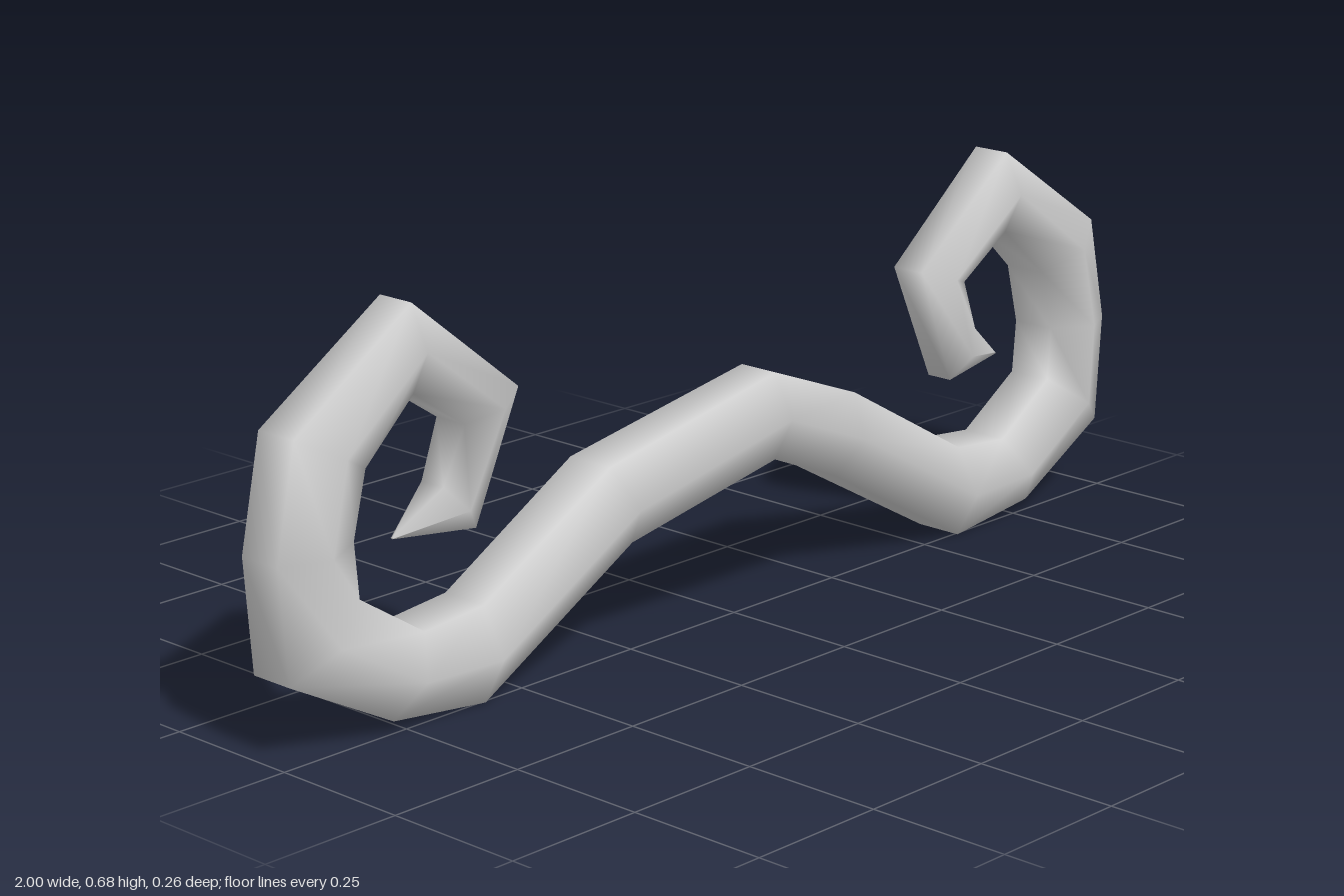
import * as THREE from 'three';

// Half of the curl, from the middle to the tip:
// [lower/outer x, y, upper/inner x, y, centre z, half depth]
const HALF = [
  [0, 0.295, 0, 0.445, 0.056, 0.076],
  [0.25, 0.19, 0.30, 0.33, -0.04, 0.091],
  [0.585, 0.003, 0.585, 0.167, -0.039, 0.089],
  [0.78, 0.025, 0.71, 0.155, -0.039, 0.087],
  [0.985, 0.135, 0.84, 0.24, -0.04, 0.083],
  [1.0, 0.33, 0.848, 0.335, -0.04, 0.082],
  [0.96, 0.52, 0.82, 0.445, -0.04, 0.081],
  [0.715, 0.685, 0.715, 0.54, -0.039, 0.071],
  [0.49, 0.505, 0.607, 0.467, -0.039, 0.064],
  [0.58, 0.29, 0.648, 0.372, -0.039, 0.05],
  [0.735, 0.303, 0.735, 0.306, -0.039, 0.003],
];

// Six-sided section with flat edges on the outer and inner sides
function section([lx, ly, ux, uy, z, w], side) {
  const mx = (lx + ux) / 2, my = (ly + uy) / 2, e = w / 2;
  return [
    [ux, uy, z + e], [mx, my, z + w], [lx, ly, z + e],
    [lx, ly, z - e], [mx, my, z - w], [ux, uy, z - e],
  ].map(([x, y, pz]) => [x * side, y, pz]);
}

export function createModel() {
  const group = new THREE.Group();
  group.name = 'curledMoustache';

  // Rings run from the -x tip through the middle to the +x tip
  const rings = [
    ...HALF.slice(1).reverse().map((s) => section(s, -1)),
    ...HALF.map((s) => section(s, 1)),
  ];
  const n = 6, index = [];
  for (let i = 0; i < rings.length - 1; i++) {
    for (let j = 0; j < n; j++) {
      const a = i * n + j, b = i * n + (j + 1) % n;
      index.push(a, b, a + n, b, b + n, a + n);
    }
  }

  // Close both tips
  const last = (rings.length - 1) * n;
  for (let j = 1; j < n - 1; j++) {
    index.push(0, j + 1, j, last, last + j, last + j + 1);
  }

  const geometry = new THREE.BufferGeometry();
  geometry.setAttribute('position', new THREE.Float32BufferAttribute(rings.flat(2), 3));
  geometry.setIndex(index);
  geometry.computeVertexNormals();

  const mesh = new THREE.Mesh(geometry, new THREE.MeshStandardMaterial({ color: 0xcccccc }));
  mesh.name = 'moustache';
  group.add(mesh);
  return group;
}
